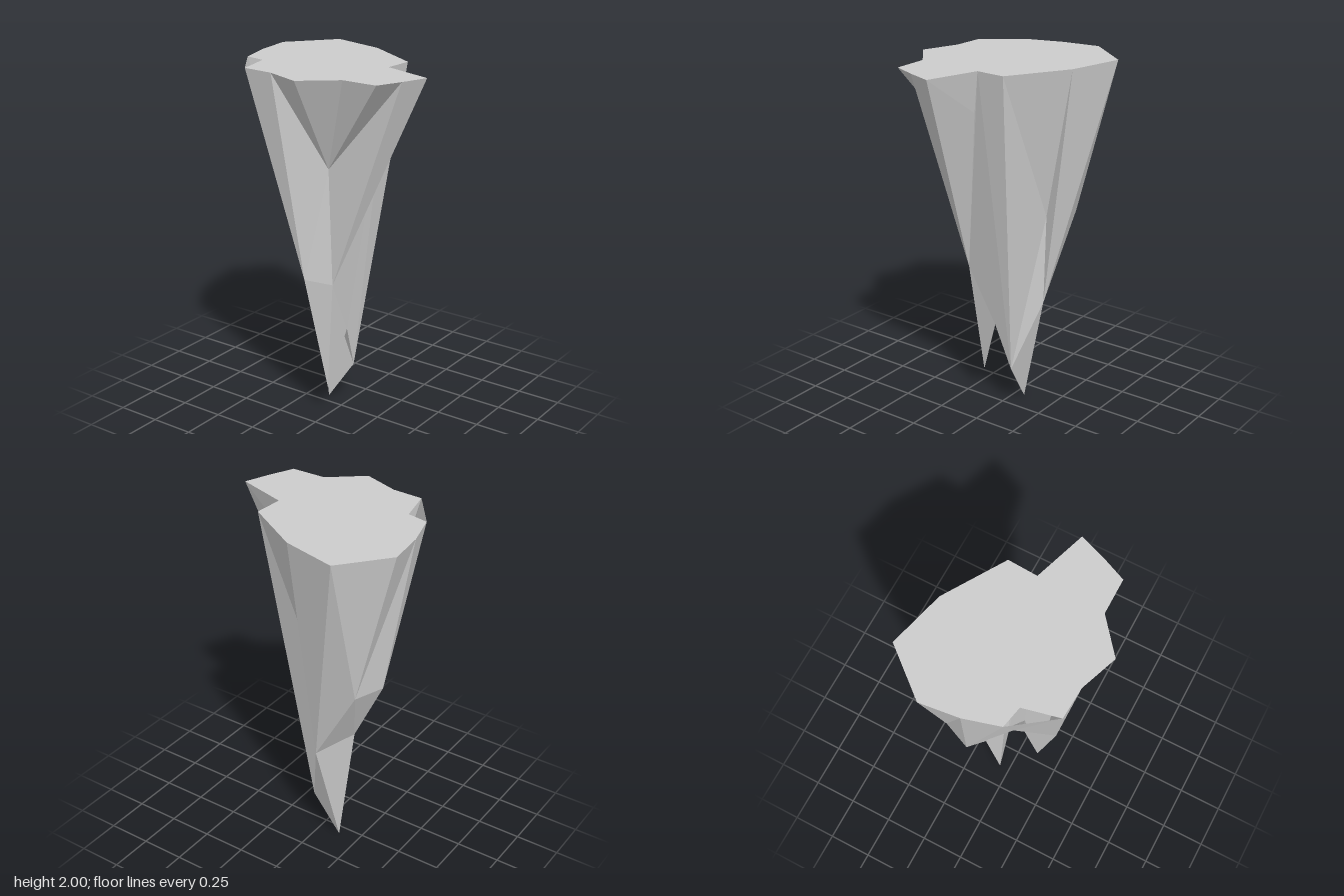
import * as THREE from 'three';

// Rim of the flat top, clockwise from above: [x, z] at y = 2
const TOP = 2;
const rim = {
  a: [0.02, -0.54], b: [0.235, -0.565], c: [0.485, -0.355], d: [0.405, -0.045],
  e: [0.205, 0.28], f: [0.04, 0.27], g: [-0.055, 0.56], h: [-0.2, 0.505],
  i: [-0.335, 0.445], j: [-0.335, 0.245], k: [-0.485, 0.06], l: [-0.41, -0.145],
  m: [-0.4, -0.32], notch: [-0.2, -0.365], o: [-0.175, -0.485],
};

// Corners of the tapering rock below the rim
const points = {
  tip: [0.06, 0, -0.13], smallTip: [-0.13, 0.17, 0],
  heel: [0.08, 0.24, 0.03], arch: [-0.015, 0.5, 0.05],
  ribTop: [0, 1.77, 0.245], ribFoot: [-0.18, 0.82, 0.07],
  hollow: [-0.185, 1.47, 0.05], flank: [-0.265, 0.85, -0.055],
  sideHigh: [0.22, 1.15, -0.1], sideLow: [0.22, 0.65, -0.08],
  ledgeSide: [0.25, 1.12, -0.35], ledgeBack: [0.09, 1.13, -0.42], ledgeFoot: [0.08, 0.76, -0.24],
  backDent: [-0.13, 1.4, -0.3], cleftA: [-0.005, 0.92, -0.175], cleftB: [-0.08, 0.83, -0.1],
};
for (const [name, [x, z]] of Object.entries(rim)) points[name] = [x, TOP, z];

const material = new THREE.MeshStandardMaterial({
  color: 0xcccccc, flatShading: true, side: THREE.DoubleSide,
});

// Each string is a fan: its centre, then the corners around it
function facets(name, fans) {
  const pos = [];
  for (const fan of fans) {
    const [centre, ...around] = fan.split(' ');
    for (let n = 0; n < around.length - 1; n++) {
      for (const p of [centre, around[n], around[n + 1]]) pos.push(...points[p]);
    }
  }
  const geometry = new THREE.BufferGeometry();
  geometry.setAttribute('position', new THREE.Float32BufferAttribute(pos, 3));
  geometry.computeVertexNormals();
  const mesh = new THREE.Mesh(geometry, material);
  mesh.name = name;
  return mesh;
}

export function createModel() {
  const group = new THREE.Group();
  group.name = 'rockSpike';

  // Flat top, notched at the back
  const outline = Object.values(rim).map(([x, z]) => new THREE.Vector2(x, -z));
  const cap = new THREE.Mesh(new THREE.ShapeGeometry(new THREE.Shape(outline)), material);
  cap.geometry.rotateX(-Math.PI / 2).translate(0, TOP, 0);
  cap.name = 'flatTop';
  group.add(cap);

  group.add(
    // Overhang and hollow on the -x side
    facets('hollowSide', ['hollow flank ribFoot h i j k l flank', 'flank l m']),
    // Projecting front rib, running down to the small tip
    facets('frontRib', [
      'ribFoot flank smallTip arch f ribTop g h',
      'f g ribTop',
    ]),
    // Broad front and +x side, running down to the main tip
    facets('frontFace', ['f arch heel e']),
    facets('outerSide', [
      'sideHigh heel sideLow d e heel',
      'sideLow heel tip ledgeFoot ledgeSide c d',
    ]),
    // Back wall with its undercut ledge
    facets('backWall', [
      'ledgeSide ledgeFoot ledgeBack a b c',
      'ledgeBack o a',
      'backDent ledgeBack cleftA cleftB flank m o ledgeBack',
    ]),
    // Cleft between the two tips
    facets('cleft', [
      'cleftA ledgeBack ledgeFoot tip heel arch cleftB',
      'flank cleftB smallTip',
      'arch smallTip cleftB',
    ]),
  );
  return group;
}
